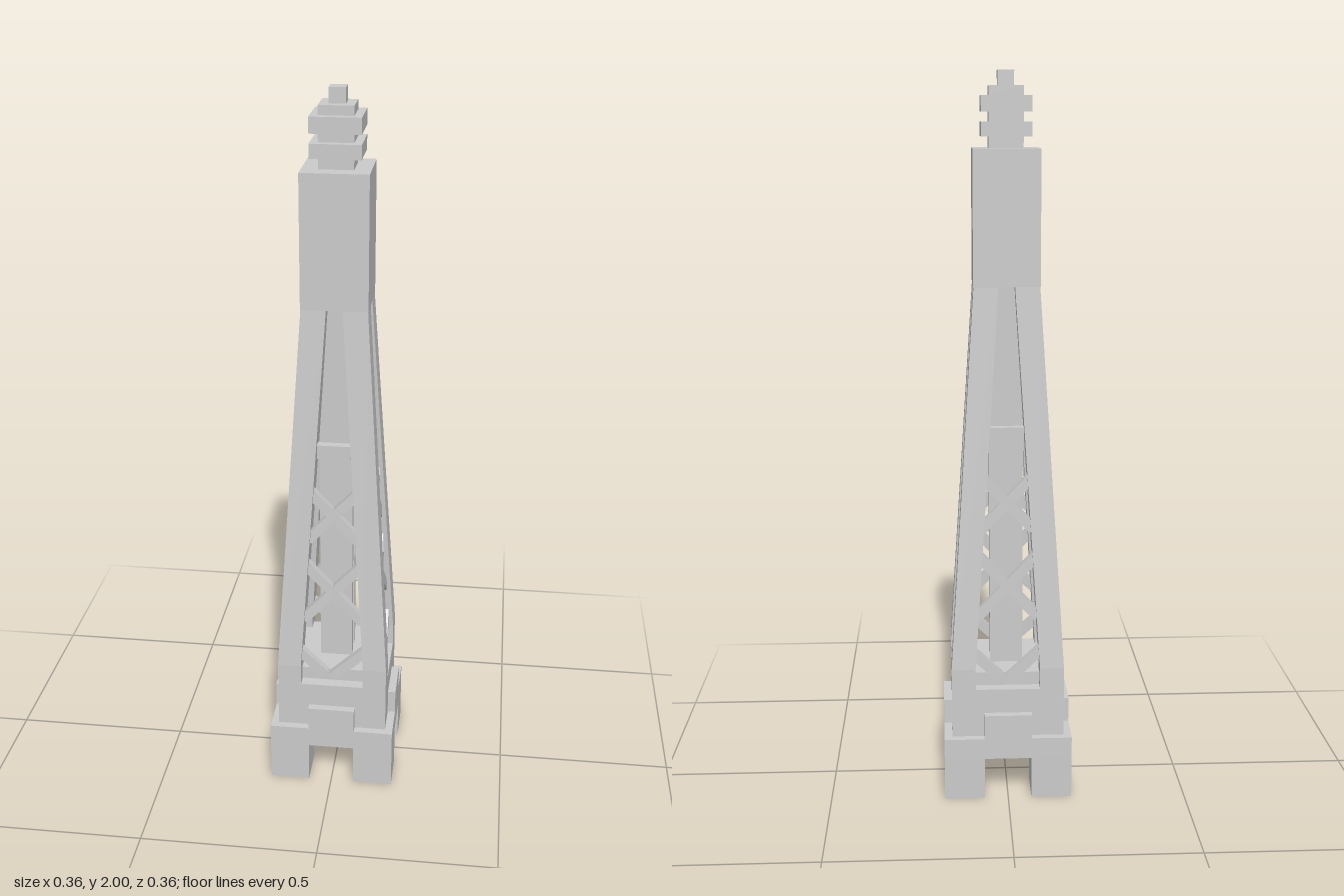
import * as THREE from 'three';

const material = new THREE.MeshStandardMaterial({ color: 0xcccccc, flatShading: true });

// Box given by its extents, so heights can be written as from/to
function box(name, x0, x1, y0, y1, z0, z1) {
  const mesh = new THREE.Mesh(new THREE.BoxGeometry(x1 - x0, y1 - y0, z1 - z0), material);
  mesh.position.set((x0 + x1) / 2, (y0 + y1) / 2, (z0 + z1) / 2);
  mesh.name = name;
  return mesh;
}

// Square block centred on the axis
const block = (name, half, y0, y1) => box(name, -half, half, y0, y1, -half, half);

const LEG_Y = 0.38, TOP_Y = 1.44;
const legOuter = (y) => 0.157 - 0.068 * Math.max(0, (y - LEG_Y) / (TOP_Y - LEG_Y));

// Corner leg: upright foot, then leaning inwards with a constant section
function cornerLeg() {
  const w = 0.067, y0 = 0.32;
  const geometry = new THREE.BoxGeometry(w, TOP_Y - y0, w, 1, 2, 1);
  const p = geometry.attributes.position;
  for (let i = 0; i < p.count; i++) {
    const t = p.getY(i);
    const y = Math.abs(t) < 1e-6 ? LEG_Y : t > 0 ? TOP_Y : y0;
    const centre = legOuter(y) - w / 2;
    p.setXYZ(i, p.getX(i) + centre, y, p.getZ(i) + centre);
  }
  geometry.computeVertexNormals();
  const mesh = new THREE.Mesh(geometry, material);
  mesh.name = 'cornerLeg';
  return mesh;
}

// Diagonal bar between two points of a face, set just inside the legs
function brace(xa, ya, xb, yb) {
  const depth = 0.022, inset = 0.011 + depth / 2;
  const a = new THREE.Vector3(xa, ya, legOuter(ya) - inset);
  const b = new THREE.Vector3(xb, yb, legOuter(yb) - inset);
  const mesh = new THREE.Mesh(new THREE.BoxGeometry(a.distanceTo(b), 0.028, depth), material);
  mesh.position.copy(a).add(b).multiplyScalar(0.5);
  const along = b.clone().sub(a).normalize();
  const up = new THREE.Vector3(0, 0, 1).cross(along).normalize();
  mesh.quaternion.setFromRotationMatrix(
    new THREE.Matrix4().makeBasis(along, up, along.clone().cross(up)));
  mesh.name = 'brace';
  return mesh;
}

// One quarter of the tower: a face and its corner
function towerSide() {
  const side = new THREE.Group();
  side.name = 'towerSide';
  side.add(
    box('foot', 0.066, 0.179, 0, 0.12, 0.066, 0.179),
    box('baseTab', -0.067, 0.067, 0.18, 0.25, 0.15, 0.179),
    cornerLeg(),
    box('crossbar', -0.046, 0.046, 1.02, 1.06, 0.08, 0.103),
  );
  // Two crossed pairs
  for (const [y, dx, dy] of [[0.85, 0.072, 0.075], [0.615, 0.085, 0.09]]) {
    side.add(brace(-dx, y - dy, dx, y + dy), brace(-dx, y + dy, dx, y - dy));
  }
  // Lowest pair, meeting at the sill
  side.add(brace(0, 0.342, 0.1, 0.436), brace(-0.022, 0.352, -0.1, 0.425));
  return side;
}

export function createModel() {
  const model = new THREE.Group();
  model.name = 'tower';

  // Base and plinth
  model.add(
    block('baseSlab', 0.179, 0.12, 0.18),
    block('plinth', 0.157, 0.18, 0.32),
    block('innerFloor', 0.125, 0.32, 0.358),
  );

  for (let i = 0; i < 4; i++) {
    const side = towerSide();
    side.rotation.y = i * Math.PI / 2;
    model.add(side);
  }

  // Flanged column in the middle
  const column = new THREE.Group();
  column.name = 'column';
  column.add(
    box('frontFlange', -0.046, 0.046, 0.35, TOP_Y, 0.02, 0.046),
    box('backFlange', -0.046, 0.046, 0.35, TOP_Y, -0.046, -0.02),
    box('web', -0.02, 0.02, 0.35, TOP_Y, -0.02, 0.02),
  );
  model.add(column);

  // Head and stepped finial
  model.add(block('head', 0.09, TOP_Y, 1.8));
  const steps = [
    [0.046, 1.8, 1.83], [0.067, 1.83, 1.868], [0.046, 1.868, 1.893],
    [0.067, 1.893, 1.935], [0.046, 1.935, 1.96], [0.022, 1.96, 2],
  ];
  for (const [half, y0, y1] of steps) model.add(block('finialStep', half, y0, y1));

  return model;
}
